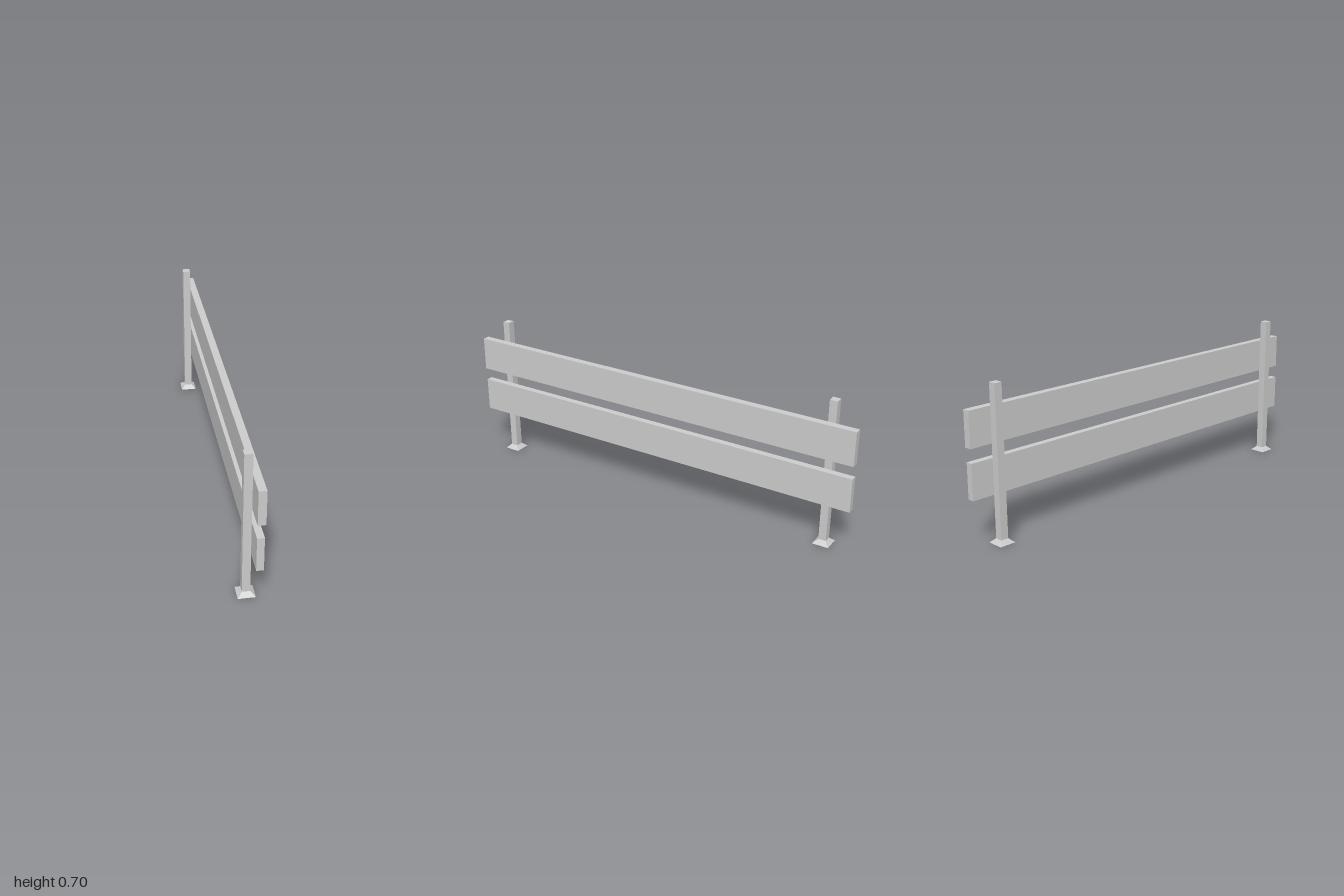
import * as THREE from 'three';

const material = new THREE.MeshStandardMaterial({ color: 0xcccccc, flatShading: true });

// Box given by its lower and upper corners
function box(name, [x0, y0, z0], [x1, y1, z1]) {
  const mesh = new THREE.Mesh(new THREE.BoxGeometry(x1 - x0, y1 - y0, z1 - z0), material);
  mesh.position.set((x0 + x1) / 2, (y0 + y1) / 2, (z0 + z1) / 2);
  mesh.name = name;
  return mesh;
}

// Square post standing on a flared foot
function createPost(name) {
  const width = 0.036, footWidth = 0.077, footHeight = 0.019, height = 0.701;
  const post = new THREE.Group();
  post.name = name;
  post.add(box('postShaft', [-width / 2, footHeight, -width / 2], [width / 2, height, width / 2]));

  const footGeometry = new THREE.CylinderGeometry(width * Math.SQRT1_2, footWidth * Math.SQRT1_2, footHeight, 4);
  footGeometry.rotateY(Math.PI / 4).translate(0, footHeight / 2, 0);
  const foot = new THREE.Mesh(footGeometry, material);
  foot.name = 'postFoot';
  post.add(foot);
  return post;
}

export function createModel() {
  const fence = new THREE.Group();
  fence.name = 'fence';

  // Posts near both ends
  for (const [name, z] of [['frontPost', 0.875], ['backPost', -0.875]]) {
    const post = createPost(name);
    post.position.set(-0.008, 0, z);
    fence.add(post);
  }

  // Two long planks fixed to the left faces of the posts
  fence.add(box('upperPlank', [0.0105, 0.439, -1], [0.045, 0.601, 1]));
  fence.add(box('lowerPlank', [0.0095, 0.215, -1], [0.041, 0.377, 1]));

  return fence;
}
